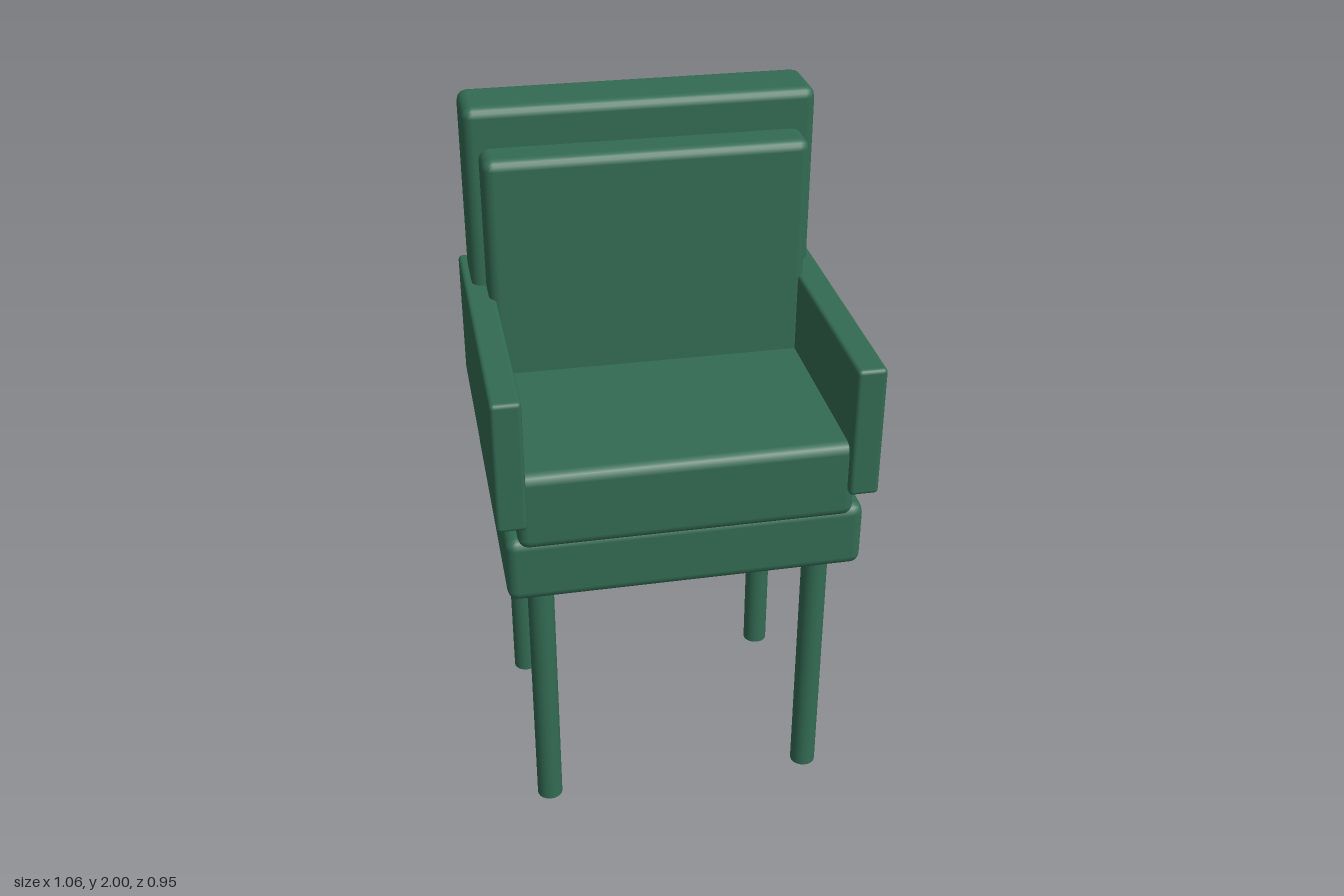
import * as THREE from 'three';
import { RoundedBoxGeometry } from 'three/addons/geometries/RoundedBoxGeometry.js';

export function createModel() {
  const chair = new THREE.Group();
  chair.name = 'armchair';

  const green = new THREE.MeshStandardMaterial({ color: 0x336b53 });
  green.name = 'green upholstery';

  // Soft-edged block given by its extents along each axis
  function block(name, [x0, x1], [y0, y1], [z0, z1], radius) {
    const geometry = new RoundedBoxGeometry(x1 - x0, y1 - y0, z1 - z0, 2, radius);
    const mesh = new THREE.Mesh(geometry, green);
    mesh.name = name;
    mesh.position.set((x0 + x1) / 2, (y0 + y1) / 2, (z0 + z1) / 2);
    chair.add(mesh);
  }

  // Seat and back
  block('seatBase', [-0.505, 0.505], [0.82, 1.02], [-0.435, 0.44], 0.03);
  block('seatCushion', [-0.47, 0.47], [0.995, 1.23], [-0.4, 0.45], 0.03);
  block('backrest', [-0.505, 0.505], [1.05, 2], [-0.442, -0.24], 0.03);
  block('backCushion', [-0.465, 0.465], [1.15, 1.885], [-0.27, -0.132], 0.03);

  // Armrests and legs, mirrored left and right
  for (const side of [1, -1]) {
    const label = side > 0 ? 'left' : 'right';
    const xs = side > 0 ? [0.445, 0.528] : [-0.528, -0.445];
    block(label + 'Armrest', xs, [1.08, 1.47], [-0.474, 0.474], 0.012);

    for (const z of [0.32, -0.315]) {
      const leg = new THREE.Mesh(new THREE.CylinderGeometry(0.038, 0.038, 0.83, 24), green);
      leg.name = label + (z > 0 ? 'FrontLeg' : 'BackLeg');
      leg.position.set(side * 0.404, 0.415, z);
      chair.add(leg);
    }
  }

  return chair;
}
